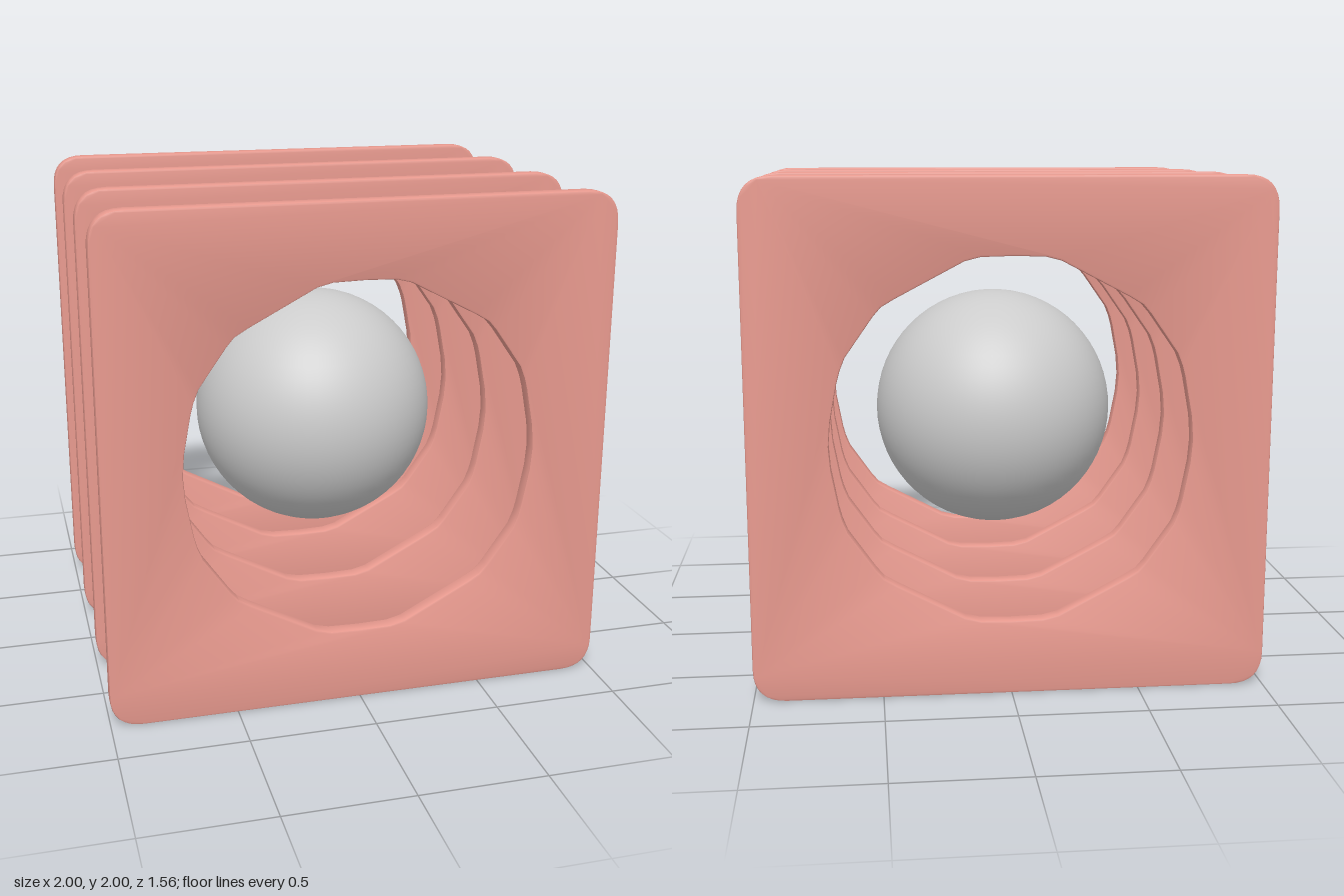
import * as THREE from 'three';
import { toCreasedNormals } from 'three/addons/utils/BufferGeometryUtils.js';

const THICKNESS = 0.063, BEVEL = 0.008;

// Square with softly rounded corners and a slightly faceted round opening
function plateGeometry() {
  const c = 0.87;
  const shape = new THREE.Shape();
  shape.moveTo(-c, -1);
  shape.lineTo(c, -1);
  shape.quadraticCurveTo(1, -1, 1, -c);
  shape.lineTo(1, c);
  shape.quadraticCurveTo(1, 1, c, 1);
  shape.lineTo(-c, 1);
  shape.quadraticCurveTo(-1, 1, -1, c);
  shape.lineTo(-1, -c);
  shape.quadraticCurveTo(-1, -1, -c, -1);

  // One quarter of the opening, mirrored into the other three
  const q = [[0.692, 0], [0.685, 0.09], [0.657, 0.24], [0.645, 0.285], [0.625, 0.335],
    [0.52, 0.485], [0.49, 0.52], [0.44, 0.55], [0.18, 0.687], [0.12, 0.702], [0, 0.705]];
  const half = [...q, ...q.slice(0, -1).reverse().map(([x, y]) => [-x, y])];
  const ring = [...half, ...half.slice(1, -1).reverse().map(([x, y]) => [x, -y])];
  shape.holes.push(new THREE.Path(ring.map(([x, y]) => new THREE.Vector2(x, y))));

  const geo = new THREE.ExtrudeGeometry(shape, {
    depth: THICKNESS - 2 * BEVEL, curveSegments: 8,
    bevelThickness: BEVEL, bevelSize: BEVEL, bevelOffset: -BEVEL, bevelSegments: 2,
  });
  geo.translate(0, 0, BEVEL - THICKNESS / 2);
  return toCreasedNormals(geo, 0.5);
}

export function createModel() {
  const model = new THREE.Group();
  model.name = 'sphereInPlates';

  // Four parallel plates, evenly spaced
  const plate = plateGeometry();
  const plateMaterial = new THREE.MeshStandardMaterial({ color: 0xe7998e });
  for (let i = 0; i < 4; i++) {
    const mesh = new THREE.Mesh(plate, plateMaterial);
    mesh.name = `plate${i + 1}`;
    mesh.position.set(0, 1, 0.75 - i * 0.5);
    model.add(mesh);
  }

  // Central ball
  const ball = new THREE.Mesh(
    new THREE.SphereGeometry(0.5, 64, 32),
    new THREE.MeshStandardMaterial({ color: 0xcccccc }),
  );
  ball.name = 'ball';
  ball.position.y = 1;
  model.add(ball);

  return model;
}
